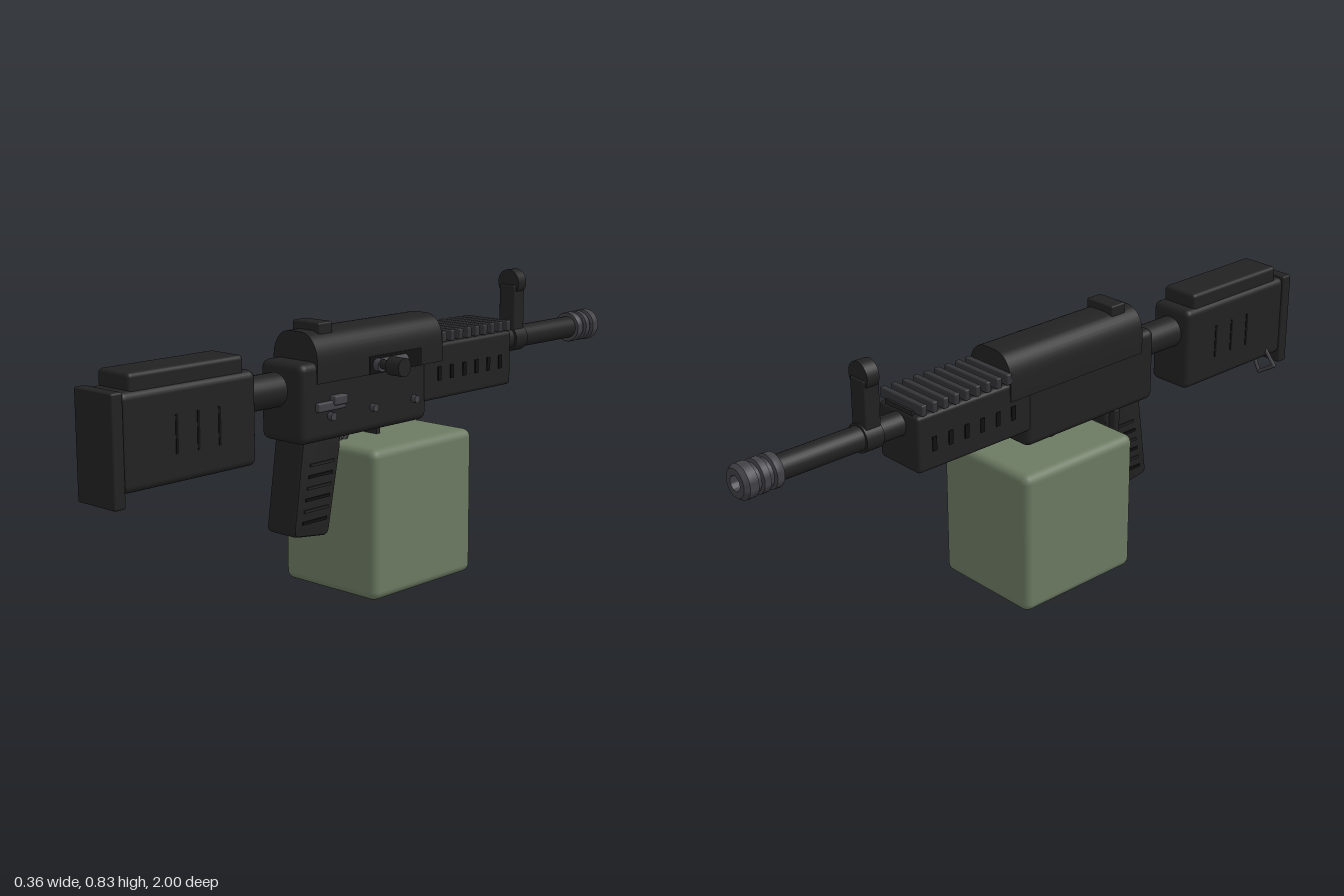
import * as THREE from 'three';
import { toCreasedNormals } from 'three/addons/utils/BufferGeometryUtils.js';
import { RoundedBoxGeometry } from 'three/addons/geometries/RoundedBoxGeometry.js';

const CX = -0.005; // centre plane of the body

export function createModel() {
  const root = new THREE.Group();
  root.name = 'beltFedGun';
  const mat = (name, color) => {
    const m = new THREE.MeshStandardMaterial({ color });
    m.name = name;
    return m;
  };
  const black = mat('black polymer', 0x222222);
  const rib = mat('rail grey', 0x343437);
  const steel = mat('steel grey', 0x414146);
  const green = mat('olive green', 0x6c7a62);
  const bore = mat('deep black', 0x111111);

  const add = (name, geo, m, x = 0, y = 0, z = 0) => {
    const mesh = new THREE.Mesh(geo, m);
    mesh.name = name;
    mesh.position.set(x, y, z);
    root.add(mesh);
  };
  // box given by its limits, rounded when r > 0
  const block = (name, m, [x0, x1], [y0, y1], [z0, z1], r = 0) => {
    const s = [x1 - x0, y1 - y0, z1 - z0];
    const g = r ? new RoundedBoxGeometry(...s, 3, r) : new THREE.BoxGeometry(...s);
    add(name, g, m, (x0 + x1) / 2, (y0 + y1) / 2, (z0 + z1) / 2);
  };
  // cylinders along z and along x
  const rodZ = (name, m, r, z0, z1, x, y, n = 28) =>
    add(name, new THREE.CylinderGeometry(r, r, z1 - z0, n).rotateX(Math.PI / 2), m, x, y, (z0 + z1) / 2);
  const rodX = (name, m, r, x0, x1, y, z, n = 20) =>
    add(name, new THREE.CylinderGeometry(r, r, x1 - x0, n).rotateZ(Math.PI / 2), m, (x0 + x1) / 2, y, z);

  // ammunition box
  block('ammoBox', green, [-0.18, 0.17], [0, 0.423], [-0.21, 0.205], 0.025);

  // receiver with arched top cover
  block('receiver', black, [-0.085, 0.075], [0.45, 0.668], [-0.12, 0.382], 0.022);
  const arch = new THREE.Shape();
  arch.moveTo(-0.083, 0.61);
  arch.lineTo(0.083, 0.61);
  arch.lineTo(0.083, 0.665);
  arch.bezierCurveTo(0.083, 0.715, 0.055, 0.744, 0.02, 0.744);
  arch.lineTo(-0.02, 0.744);
  arch.bezierCurveTo(-0.055, 0.744, -0.083, 0.715, -0.083, 0.665);
  arch.closePath();
  const cover = new THREE.ExtrudeGeometry(arch, { depth: 0.505, bevelEnabled: false, curveSegments: 10 });
  add('topCover', toCreasedNormals(cover, 0.6), black, CX, 0, -0.18);
  block('rearSight', black, [-0.055, 0.045], [0.72, 0.766], [0.232, 0.286], 0.005);

  // handguard with ribbed rail and side slots
  block('handguard', black, [-0.085, 0.075], [0.5, 0.662], [-0.5, -0.1], 0.012);
  block('railBase', black, [-0.06, 0.05], [0.655, 0.672], [-0.495, -0.15]);
  for (let i = 0; i < 9; i++) {
    const z = -0.187 - i * 0.0365;
    block('railTooth', rib, [-0.092, 0.082], [0.664, 0.695], [z - 0.009, z + 0.009], 0.004);
  }
  for (const x of [-0.086, 0.076])
    for (let i = 0; i < 6; i++) {
      const z = -0.17 - i * 0.055;
      block('handguardSlot', bore, [x - 0.002, x + 0.002], [0.555, 0.595], [z - 0.007, z + 0.007]);
    }

  // barrel, front sight and muzzle
  rodZ('barrel', black, 0.034, -0.9, -0.48, CX, 0.622);
  rodZ('sightBand', black, 0.041, -0.63, -0.575, CX, 0.622);
  block('sightPost', black, [-0.034, 0.024], [0.62, 0.785], [-0.625, -0.575], 0.005);
  rodZ('sightHood', black, 0.039, -0.62, -0.582, CX, 0.792, 32);
  const profile = [[0, -0.885], [0.045, -0.885], [0.047, -0.889], [0.047, -0.908], [0.039, -0.912],
    [0.039, -0.922], [0.047, -0.926], [0.047, -0.945], [0.039, -0.949], [0.039, -0.957],
    [0.048, -0.962], [0.048, -0.988], [0.039, -1], [0.021, -1], [0.021, -0.97], [0, -0.97]];
  const muzzle = new THREE.LatheGeometry(
    profile.map(([r, z]) => new THREE.Vector2(r, -z)), 32).rotateX(-Math.PI / 2);
  add('muzzleBrake', toCreasedNormals(muzzle, 0.6), steel, CX, 0.622, 0);
  rodZ('bore', bore, 0.02, -0.974, -0.96, CX, 0.622);

  // shoulder stock
  rodZ('stockTube', black, 0.047, 0.4, 0.56, CX, 0.597);
  block('stock', black, [-0.075, 0.065], [0.425, 0.675], [0.53, 0.972], 0.02);
  block('cheekRest', black, [-0.065, 0.055], [0.64, 0.717], [0.565, 0.938], 0.012);
  block('buttPlate', black, [-0.077, 0.067], [0.392, 0.678], [0.964, 1], 0.006);
  for (const x of [-0.0755, 0.0655])
    for (const z of [0.66, 0.73, 0.8])
      block('stockGroove', bore, [x - 0.001, x + 0.001], [0.5, 0.6], [z - 0.004, z + 0.004]);

  // wire sling loop beneath the stock
  const loop = [[-0.06, 0.465], [-0.108, 0.408], [-0.05, 0.372], [-0.02, 0.43]];
  for (let i = 0; i < 3; i++) {
    const [a, b] = [loop[i], loop[i + 1]].map(([x, y]) => new THREE.Vector3(x, y, 0.905));
    add('slingLoop', new THREE.TubeGeometry(new THREE.LineCurve3(a, b), 1, 0.006, 8), steel);
    add('slingLoopCorner', new THREE.SphereGeometry(0.006, 8, 6), steel, b.x, b.y, b.z);
  }

  // slanted pistol grip, side profile extruded across x
  const side = new THREE.Shape();
  side.moveTo(0.35, 0.47);
  side.lineTo(0.387, 0.215);
  side.quadraticCurveTo(0.39, 0.197, 0.37, 0.194);
  side.lineTo(0.275, 0.182);
  side.quadraticCurveTo(0.256, 0.18, 0.252, 0.2);
  side.lineTo(0.208, 0.42);
  side.lineTo(0.205, 0.47);
  side.closePath();
  const grip = new THREE.ExtrudeGeometry(side, {
    depth: 0.084, bevelThickness: 0.012, bevelSize: 0.008, bevelOffset: -0.008, bevelSegments: 3 });
  grip.translate(0, 0, -0.042).rotateY(-Math.PI / 2);
  add('pistolGrip', toCreasedNormals(grip, 0.6), black, CX);
  for (const x of [-0.059, 0.049])
    for (let i = 0; i < 6; i++) {
      const y = 0.232 + i * 0.031;
      const z = 0.312 - i * 0.006;
      const m = i % 2 ? black : bore;
      block('gripRib', m, [x - 0.004, x + 0.004], [y - 0.004, y + 0.004], [z - 0.045, z + 0.045]);
    }
  block('gripLatch', black, [-0.081, -0.055], [0.348, 0.46], [0.225, 0.25], 0.008);

  // trigger guard and feed post above the ammunition box
  const guard = new THREE.QuadraticBezierCurve3(new THREE.Vector3(CX, 0.43, 0.21),
    new THREE.Vector3(CX, 0.38, 0.14), new THREE.Vector3(CX, 0.46, 0.12));
  add('triggerGuard', new THREE.TubeGeometry(guard, 12, 0.007, 8), black);
  block('trigger', steel, [-0.013, 0.003], [0.41, 0.46], [0.155, 0.168]);
  block('feedPost', black, [-0.03, 0.02], [0.41, 0.46], [0.02, 0.035]);

  // bolt and charging handle on the left side
  block('boltSlot', bore, [0.073, 0.08], [0.61, 0.66], [-0.09, 0.125]);
  rodZ('bolt', steel, 0.015, -0.02, 0.09, 0.078, 0.637, 16);
  rodX('handleCollar', steel, 0.018, 0.075, 0.1, 0.635, 0.095);
  rodX('handleRod', black, 0.013, 0.075, 0.14, 0.638, 0.095);
  rodX('handleKnob', black, 0.026, 0.132, 0.18, 0.638, 0.095);

  // selector lever and pins
  block('selectorLever', steel, [0.07, 0.095], [0.548, 0.574], [0.225, 0.275], 0.005);
  block('selectorBar', steel, [0.07, 0.088], [0.535, 0.56], [0.225, 0.33], 0.005);
  for (const z of [0.275, 0.11, -0.06]) rodX('pin', steel, 0.011, 0.07, 0.09, 0.518, z);

  return root;
}
